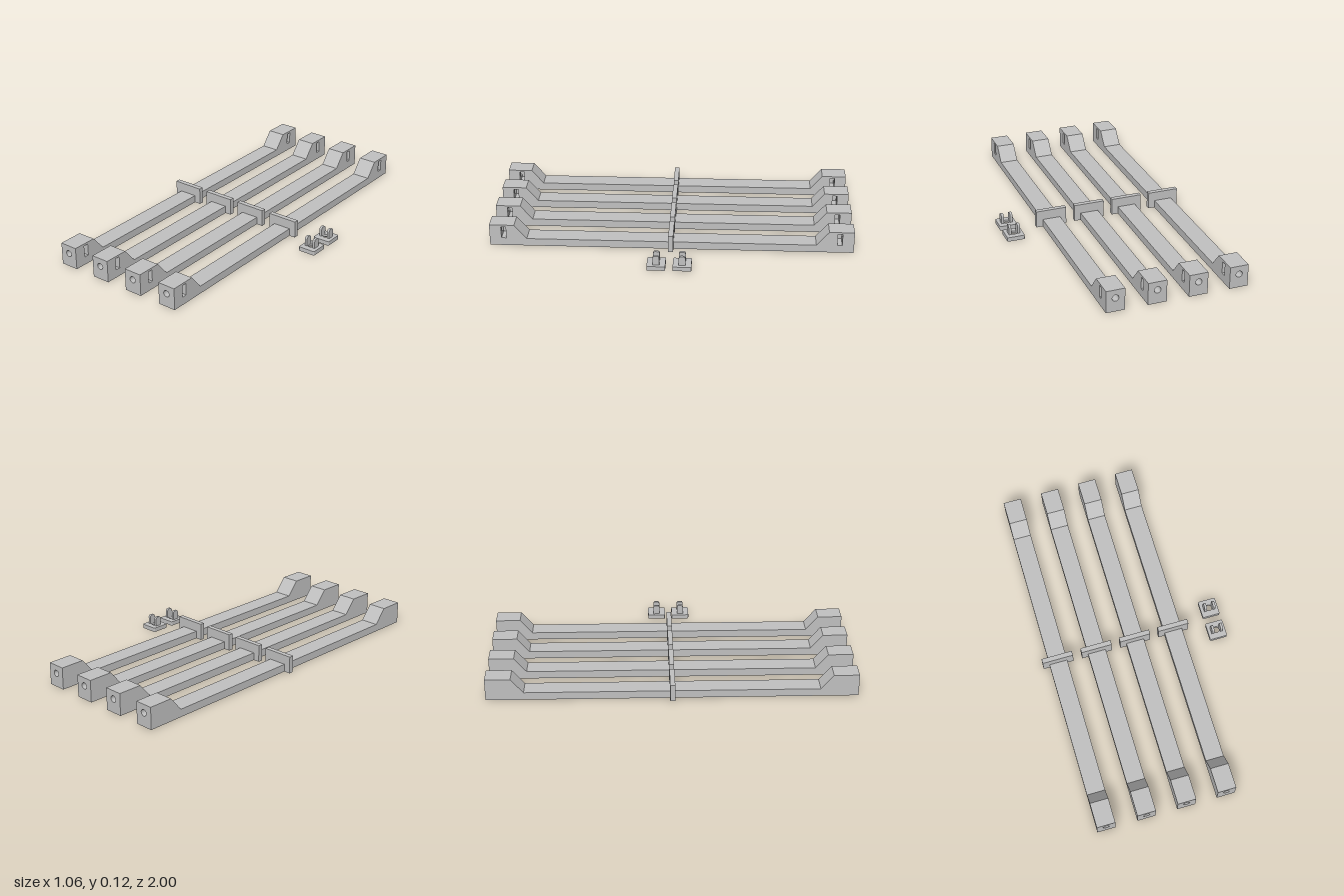
import * as THREE from 'three';

const W = 0.103, H = 0.124, LOW = 0.043;   // bar width, end height, shaft height
const HOLE_Y = 0.077, HOLE_R = 0.018;
const grey = new THREE.MeshStandardMaterial({ color: 0xc0c0c0 });
grey.name = 'plain grey';

function mesh(name, geometry) {
  const m = new THREE.Mesh(geometry, grey);
  m.name = name;
  return m;
}

function polygon(points) {
  return new THREE.Shape(points.map(([x, y]) => new THREE.Vector2(x, y)));
}

function withHole(shape, x, y, r) {
  const hole = new THREE.Path();
  hole.absarc(x, y, r, 0, Math.PI * 2, true);
  shape.holes.push(hole);
  return shape;
}

function extrude(shape, depth) {
  return new THREE.ExtrudeGeometry(shape, { depth, bevelEnabled: false, curveSegments: 16 });
}

// Slab of an end block between two z positions
function slab(name, shape, z0, z1) {
  return mesh(name, extrude(shape, z1 - z0).translate(0, 0, z0));
}

function endSection() {
  return polygon([[-W / 2, 0], [W / 2, 0], [W / 2, H], [-W / 2, H]]);
}

// Section cut open by the nut slot; the slot always opens toward +x
function slotSection() {
  const deep = -0.026, y0 = 0.045, y1 = 0.112;
  return polygon([[-W / 2, 0], [W / 2, 0], [W / 2, y0], [deep, y0],
    [deep, y1], [W / 2, y1], [W / 2, H], [-W / 2, H]]);
}

function makeBar() {
  const bar = new THREE.Group();
  bar.name = 'bar';

  // Shaft with a ramp up to each end block
  const side = polygon([[-0.862, 0], [0.862, 0], [0.862, H], [0.795, LOW], [-0.795, LOW], [-0.862, H]]);
  bar.add(mesh('shaft', extrude(side, W).rotateY(-Math.PI / 2).translate(W / 2, 0, 0)));

  // End blocks with a screw hole and a blind nut slot
  const bored = () => withHole(endSection(), 0, HOLE_Y, HOLE_R);
  const spans = [
    ['blockRoot', endSection, 0.862, 0.885],
    ['blockInner', bored, 0.885, 0.9085],
    ['blockSlot', slotSection, 0.9085, 0.9355],
    ['blockFace', bored, 0.9355, 1],
  ];
  for (const [name, section, a, b] of spans) {
    bar.add(slab(name + 'Front', section(), a, b));
    bar.add(slab(name + 'Back', section(), -b, -a));
  }

  // Cross plate at mid length
  bar.add(mesh('crossPlate', new THREE.BoxGeometry(0.176, 0.096, 0.027).translate(0, 0.048, 0)));
  return bar;
}

function roundedSquare(half, r) {
  const s = new THREE.Shape();
  s.absarc(half - r, half - r, r, 0, Math.PI / 2);
  s.absarc(-half + r, half - r, r, Math.PI / 2, Math.PI);
  s.absarc(-half + r, -half + r, r, Math.PI, Math.PI * 1.5);
  s.absarc(half - r, -half + r, r, Math.PI * 1.5, Math.PI * 2);
  return s;
}

function makeClip() {
  const clip = new THREE.Group();
  clip.name = 'clip';

  // Base in two layers: wide recess below, screw hole above
  for (const [name, r, y, h] of [['baseLower', 0.034, 0, 0.012], ['baseUpper', 0.018, 0.012, 0.012]]) {
    const shape = withHole(roundedSquare(0.05, 0.006), 0, 0, r);
    clip.add(mesh(name, extrude(shape, h).rotateX(-Math.PI / 2).translate(0, y, 0)));
  }

  // Pair of upright prongs with softened tops
  const prong = polygon([[-0.018, 0.024], [0.018, 0.024], [0.018, 0.066], [0.015, 0.073],
    [0.009, 0.077], [-0.009, 0.077], [-0.015, 0.073], [-0.018, 0.066]]);
  for (const s of [-1, 1]) {
    const g = extrude(prong, 0.014).translate(0, 0, -0.007).rotateY(Math.PI / 2);
    clip.add(mesh('prong', g.translate(s * 0.025, 0, 0)));
  }
  return clip;
}

export function createModel() {
  const model = new THREE.Group();
  model.name = 'barSet';
  for (let i = 0; i < 4; i++) {
    const bar = makeBar();
    bar.position.x = -0.442 + i * 0.2265;
    model.add(bar);
  }
  for (const z of [-0.07, 0.07]) {
    const clip = makeClip();
    clip.position.set(0.478, 0, z);
    model.add(clip);
  }
  return model;
}
